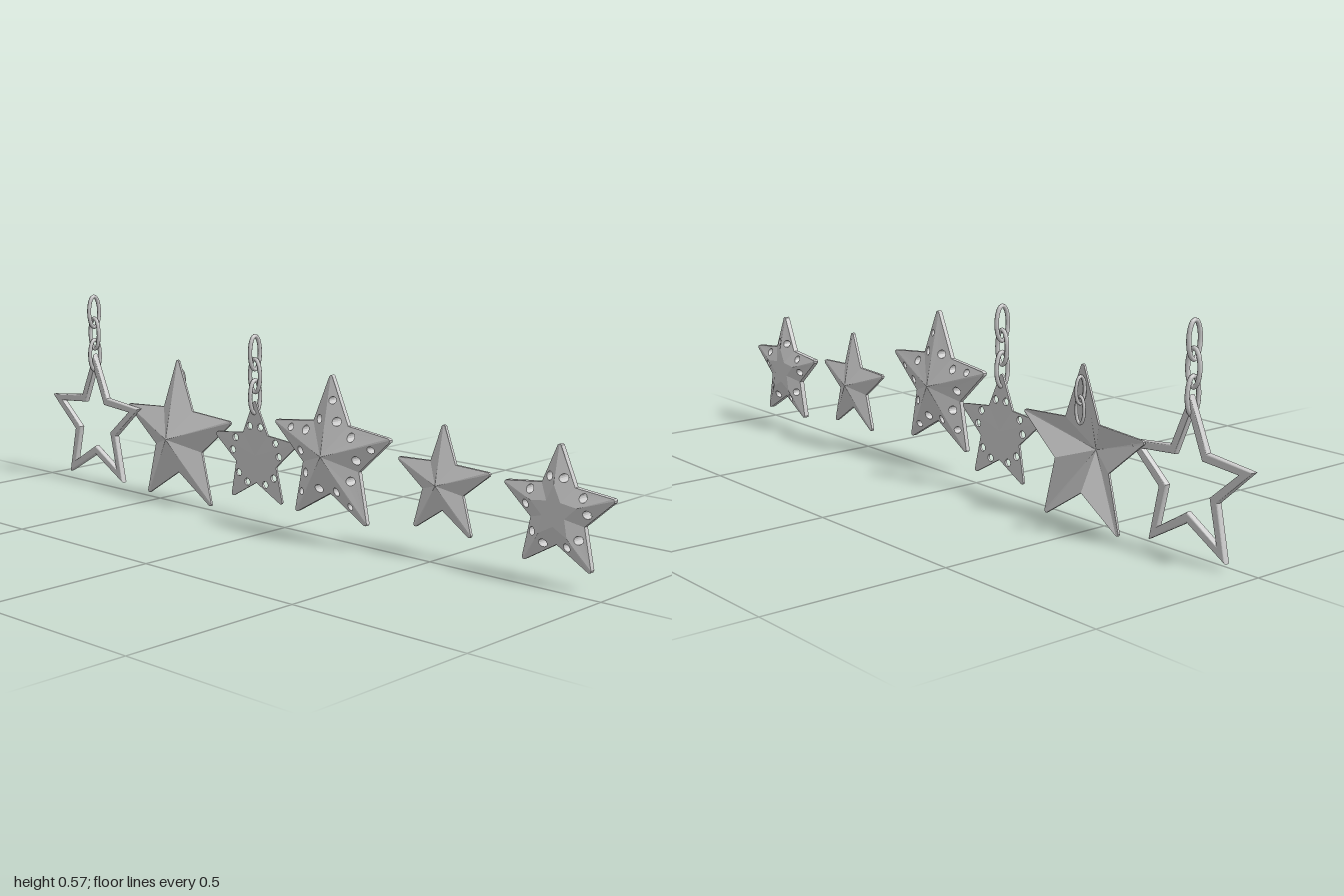
import * as THREE from 'three';
import { mergeGeometries } from 'three/addons/utils/BufferGeometryUtils.js';

const material = new THREE.MeshStandardMaterial({ color: 0xcccccc, side: THREE.DoubleSide });

// Faceted star made of ten wedges. Holes are [along arm, off ridge, radius, side?].
// plateau flattens the middle; shell > 0 gives a hollow back of that thickness.
function starGeometry({ R, inner, peak, rim, holes = [], plateau = 0, shell = 0 }) {
  const vx = inner * Math.cos(Math.PI / 5), vy = inner * Math.sin(Math.PI / 5);
  const height = (a, b) => {
    const t = ((R - a) * vy - Math.abs(b) * (R - vx)) / (R * vy);
    return rim + (peak - rim) * Math.min(1, Math.max(0, t) / (1 - plateau));
  };
  const parts = [];
  for (let i = 0; i < 5; i++) for (const s of [1, -1]) {
    const k = plateau;
    const outer = [[R, 0], [R - 0.003, 0.005], [vx, vy]];
    const core = [[R * k, 0], [vx * k, vy * k]];
    const outlines = k ? [[...outer, core[1], core[0]], [[0, 0], ...core]] : [[[0, 0], ...outer]];
    outlines.forEach((pts, n) => {
      const shape = new THREE.Shape(pts.map(([a, b]) => new THREE.Vector2(a, b * s)));
      if (n === 0) for (const [a, b, r, side] of holes) {
        if (side && side !== s) continue;
        shape.holes.push(new THREE.Path().absarc(a, b * s, r, 0, Math.PI * 2, true));
      }
      const g = new THREE.ExtrudeGeometry(shape, { depth: 1, bevelEnabled: false, curveSegments: 7 });
      const p = g.attributes.position;
      for (let j = 0; j < p.count; j++) {
        const h = height(p.getX(j), p.getY(j));
        p.setZ(j, p.getZ(j) > 0.5 ? h : shell ? h - shell : -h);
      }
      g.rotateZ(Math.PI / 2 + i * Math.PI * 2 / 5);
      parts.push(g);
    });
  }
  const merged = mergeGeometries(parts);
  merged.computeVertexNormals();
  return merged;
}

// Open star frame with a softened bar
function frameGeometry(R, inner, hole) {
  const points = k => Array.from({ length: 10 }, (_, i) => {
    const r = (i % 2 ? inner : R) * k, a = Math.PI / 2 + i * Math.PI / 5;
    return new THREE.Vector2(r * Math.cos(a), r * Math.sin(a));
  });
  const shape = new THREE.Shape(points(0.95));
  shape.holes.push(new THREE.Path(points(hole * 1.07)));
  const g = new THREE.ExtrudeGeometry(shape, {
    depth: 0.006, bevelThickness: 0.006, bevelSize: 0.0045, bevelSegments: 3,
  });
  return g.translate(0, 0, -0.003);
}

// Oval links, alternately turned a quarter
function chain(x, z, ys, size = 1) {
  const group = new THREE.Group();
  group.name = 'chain';
  const pts = Array.from({ length: 16 }, (_, i) => {
    const a = i * Math.PI / 8;
    return new THREE.Vector3(0.019 * size * Math.cos(a), 0.046 * size * Math.sin(a), 0);
  });
  const curve = new THREE.CatmullRomCurve3(pts, true);
  const geometry = new THREE.TubeGeometry(curve, 32, 0.0058 * size, 8, true);
  ys.forEach((y, i) => {
    const link = new THREE.Mesh(geometry, material);
    link.name = 'chainLink';
    link.position.set(x, y, z);
    link.rotation.y = i % 2 ? 0 : Math.PI / 2;
    group.add(link);
  });
  return group;
}

export function createModel() {
  const model = new THREE.Group();
  model.name = 'starCharms';
  const add = (name, geometry, x, y, z, turn = 0, lean = 0) => {
    const mesh = new THREE.Mesh(geometry, material);
    mesh.name = name;
    mesh.position.set(x, y, z);
    mesh.rotation.set(lean, turn, 0);
    model.add(mesh);
  };

  add('openStar', frameGeometry(0.212, 0.098, 0.73), -0.8, 0.186, -0.018);

  add('hollowStar', starGeometry({ R: 0.225, inner: 0.102, peak: 0.05, rim: 0, shell: 0.006 }),
    -0.452, 0.185, -0.03);

  add('flatPiercedStar', starGeometry({
    R: 0.153, inner: 0.076, peak: 0.005, rim: 0.003,
    holes: [[0.082, 0.019, 0.01]],
  }), -0.135, 0.177, -0.028, 0.06, 0.03);

  add('largePiercedStar', starGeometry({
    R: 0.208, inner: 0.102, peak: 0.046, rim: 0.006,
    holes: [[0.092, 0.03, 0.0115], [0.145, 0.0125, 0.0095, -1]],
  }), 0.197, 0.237, 0.03);

  add('solidStar', starGeometry({ R: 0.151, inner: 0.067, peak: 0.034, rim: 0.004 }),
    0.504, 0.195, -0.044);

  add('puffedPiercedStar', starGeometry({
    R: 0.163, inner: 0.08, peak: 0.026, rim: 0.007, plateau: 0.42,
    holes: [[0.085, 0.02, 0.0105]],
  }), 0.845, 0.182, -0.05);

  // Hanging chains
  model.add(chain(-0.8, -0.016, [0.52, 0.455, 0.39]));
  model.add(chain(-0.135, -0.024, [0.463, 0.4, 0.342]));
  model.add(chain(-0.452, -0.042, [0.345, 0.295], 0.75));
  return model;
}
